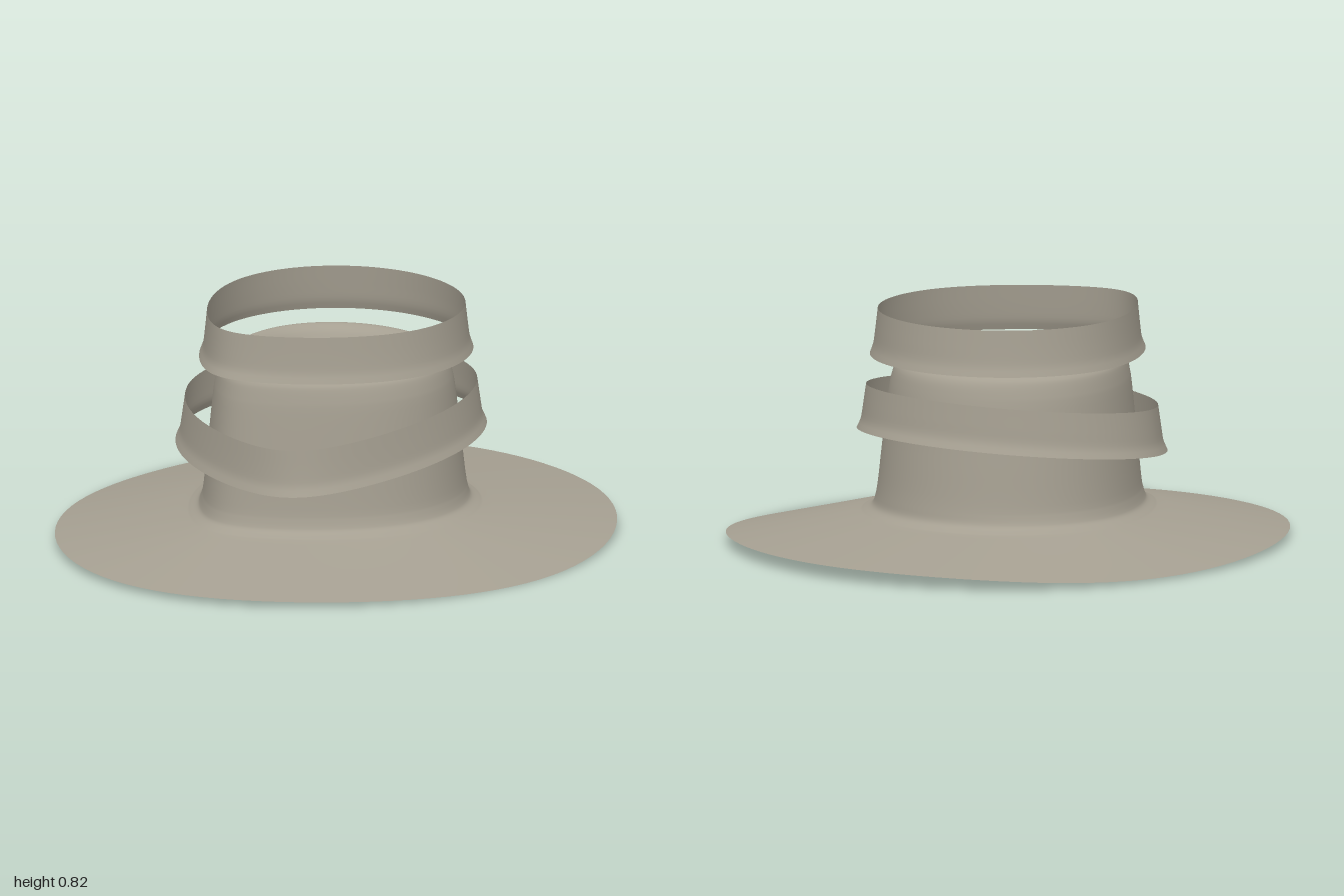
import * as THREE from 'three';

const SEGMENTS = 96;
const felt = new THREE.MeshStandardMaterial({ color: 0xa59f91, side: THREE.DoubleSide });
felt.name = 'taupe felt';

// Teardrop outline: half width a, front tip at z = f, back at z = -b
function teardrop(t, a, f, b, y) {
  const s = Math.sin(t), zc = -0.05;
  const x = a * Math.cos(t) * (s > 0 ? 1 - 0.3 * s * s : 1);
  const z = zc + s * (s > 0 ? f - zc : b + zc);
  return new THREE.Vector3(x, y, z);
}

// Gently waved outer edge of the brim
function brimEdge(t) {
  const c = Math.cos(t), s = Math.sin(t);
  const lift = (s > 0 ? 0.016 : 0.042) * s * s;
  return new THREE.Vector3(0.925 * c, 0.008 + lift + 0.01 * (2 * s * c) ** 2 - 0.005 * c, s - 0.08 * c * c);
}

// Join closed rings into one smooth surface; rings run inside/top to outside/bottom
function loft(name, rings) {
  const pos = [], index = [];
  rings.forEach((ring, r) => {
    for (let i = 0; i < SEGMENTS; i++) {
      pos.push(...ring(i / SEGMENTS * Math.PI * 2).toArray());
      if (r === 0) continue;
      const j = (i + 1) % SEGMENTS, p = (r - 1) * SEGMENTS, q = r * SEGMENTS;
      index.push(p + i, p + j, q + i, p + j, q + j, q + i);
    }
  });
  const geometry = new THREE.BufferGeometry();
  geometry.setAttribute('position', new THREE.Float32BufferAttribute(pos, 3));
  geometry.setIndex(index);
  geometry.computeVertexNormals();
  const mesh = new THREE.Mesh(geometry, felt);
  mesh.name = name;
  return mesh;
}

// Curve through [a, f, b, y] sections, sampled into teardrop rings
function sectionRings(sections, steps) {
  const at = (k) => new THREE.CatmullRomCurve3(
    sections.map((s) => new THREE.Vector3(s[k], s[k + 1], 0)), false, 'centripetal');
  const ab = at(0), by = at(2);
  return Array.from({ length: steps + 1 }, (_, i) => {
    const u = i / steps, p = ab.getPoint(u), q = by.getPoint(u);
    return (t) => teardrop(t, p.x, p.y, q.x, q.y);
  });
}

export function createModel() {
  const hat = new THREE.Group();
  hat.name = 'hat';

  // Crown: sunken top, rounded rim, tapering wall and flared foot
  const crown = sectionRings([
    [0.285, 0.395, 0.285, 0.582],
    [0.305, 0.412, 0.305, 0.588],
    [0.33, 0.425, 0.335, 0.625],
    [0.36, 0.435, 0.38, 0.643],
    [0.385, 0.445, 0.41, 0.625],
    [0.405, 0.458, 0.432, 0.56],
    [0.428, 0.48, 0.458, 0.36],
    [0.448, 0.5, 0.48, 0.18],
    [0.465, 0.515, 0.492, 0.135],
    [0.51, 0.555, 0.53, 0.112],
  ], 54);
  const foot = crown[crown.length - 1];

  // Brim: from the crown foot outward to the waved edge
  const brim = [];
  for (let i = 1; i <= 14; i++) {
    const u = i / 14;
    brim.push((t) => foot(t).lerp(brimEdge(t), u));
  }
  const panCentre = () => new THREE.Vector3(0, 0.58, 0.03);
  const pan = (t) => panCentre().lerp(crown[0](t), 0.9);
  hat.add(loft('crownAndBrim', [panCentre, pan, ...crown, ...brim]));

  // Upper band floating above the crown
  hat.add(loft('upperBand', sectionRings([
    [0.44, 0.48, 0.478, 0.82],
    [0.448, 0.487, 0.486, 0.75],
    [0.456, 0.494, 0.493, 0.695],
    [0.468, 0.51, 0.505, 0.66],
  ], 10)));

  // Lower band: turned about the crown and tilted down to the front
  const turn = new THREE.Vector3(0, 1, 0);
  const lower = sectionRings([
    [0.505, 0.6, 0.475, 0.515],
    [0.515, 0.607, 0.482, 0.445],
    [0.523, 0.614, 0.488, 0.393],
    [0.538, 0.63, 0.503, 0.358],
  ], 10).map((ring) => (t) => {
    const p = ring(t).applyAxisAngle(turn, 0.63);
    p.x += 0.01;
    p.z += 0.01;
    p.y -= 0.0935 * p.z;
    return p;
  });
  hat.add(loft('lowerBand', lower));

  return hat;
}
